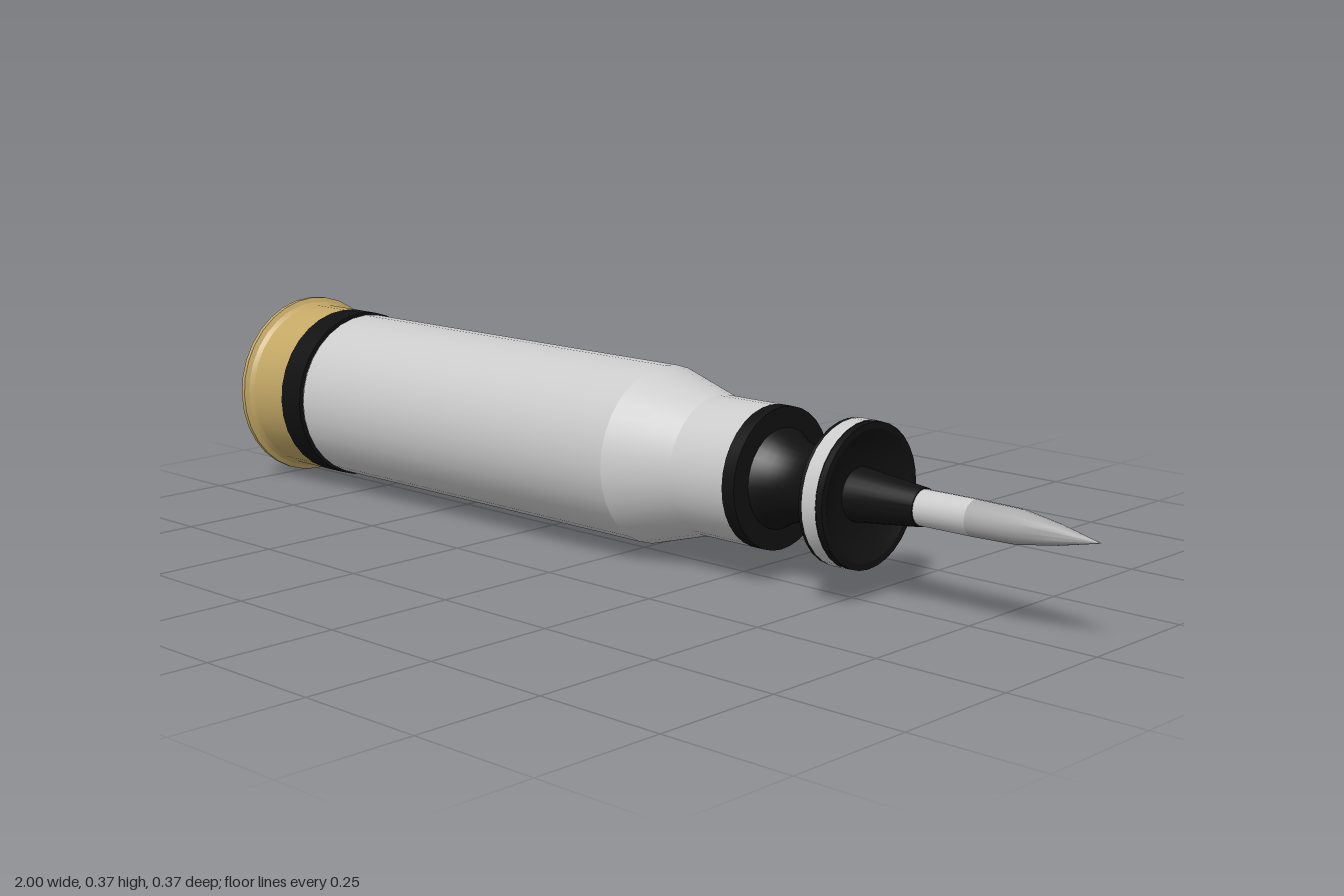
import * as THREE from 'three';
import { toCreasedNormals } from 'three/addons/utils/BufferGeometryUtils.js';

const AXIS_Y = 0.187;
const BRASS = 0xc4a866, BLACK = 0x111111, GREY = 0xcccccc, STEEL = 0xaaaaaa;

// Turned part: profile points are [x along the axis, radius], rear to front
function turned(name, color, profile, segments = 32, crease = 0.25) {
  const points = profile.map(([x, r]) => new THREE.Vector2(r, x));
  const geometry = new THREE.LatheGeometry(points, segments);
  geometry.rotateZ(-Math.PI / 2);
  const material = new THREE.MeshStandardMaterial({ color, side: THREE.DoubleSide });
  const mesh = new THREE.Mesh(toCreasedNormals(geometry, crease), material);
  mesh.name = name;
  return mesh;
}

// Concave waist between the two sabot discs
function waistProfile(x0, x1, rEnd, rMid, steps) {
  const pts = [];
  for (let i = 0; i <= steps; i++) {
    const t = (i / steps) * 2 - 1;
    pts.push([x0 + (x1 - x0) * (i / steps), rMid + (rEnd - rMid) * t * t]);
  }
  return pts;
}

export function createModel() {
  const round = new THREE.Group();
  round.name = 'cannonRound';
  const shell = new THREE.Group();
  shell.name = 'shell';
  shell.position.y = AXIS_Y;
  round.add(shell);

  shell.add(
    // Cartridge base with flanged rim and primer
    turned('base', BRASS, [
      [-0.998, 0], [-0.998, 0.18], [-0.996, 0.187], [-0.987, 0.187],
      [-0.982, 0.178], [-0.973, 0.172], [-0.88, 0.172],
    ]),
    turned('primer', STEEL, [[-1, 0], [-1, 0.022], [-0.99, 0.026]], 16),

    // Case
    turned('caseBand', BLACK, [[-0.88, 0.172], [-0.82, 0.172], [-0.82, 0.16]]),
    turned('caseBody', GREY, [
      [-0.82, 0.163], [-0.812, 0.168], [0.05, 0.168],
      [0.185, 0.13], [0.31, 0.13],
    ]),

    // Sabot: rear collar, waist and front disc with a shallow scoop
    turned('sabotCollar', BLACK, [[0.31, 0.13], [0.338, 0.13], [0.338, 0.085]]),
    turned('sabotWaist', BLACK, waistProfile(0.338, 0.484, 0.092, 0.068, 10), 32, 0.4),
    turned('discRear', BLACK, [[0.484, 0.088], [0.484, 0.13], [0.492, 0.13]]),
    turned('discBand', GREY, [[0.492, 0.131], [0.522, 0.131]]),
    turned('discFront', BLACK, [
      [0.522, 0.13], [0.535, 0.13], [0.535, 0.118], [0.522, 0.095],
      [0.514, 0.07], [0.512, 0.04],
    ], 32, 0.5),

    // Penetrator
    turned('penetratorSleeve', BLACK, [[0.512, 0.049], [0.65, 0.034], [0.65, 0.03]], 24, 0.4),
    turned('penetratorRod', GREY, [[0.65, 0.032], [0.755, 0.032]], 16, 0.5),
    turned('penetratorTip', STEEL, [[0.755, 0.032], [0.845, 0.03], [0.92, 0.018], [1, 0]], 16, 0.5),
  );
  return round;
}
